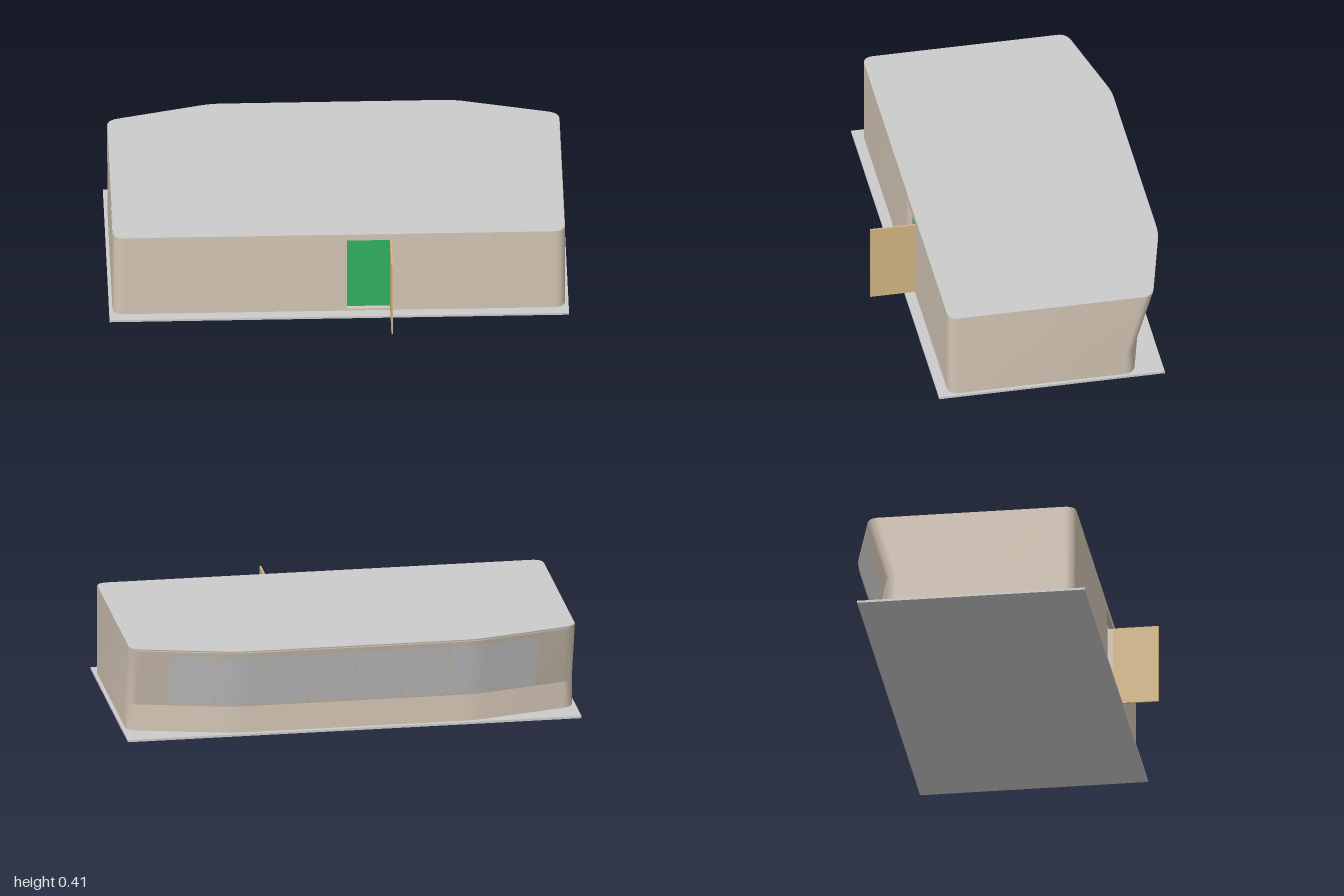
import * as THREE from 'three';
import { toCreasedNormals } from 'three/addons/utils/BufferGeometryUtils.js';

const SLOPE = 0.3, BEND_Y = 0.13, TOP = 0.41;
const DOOR = { x0: 0.035, x1: 0.225, y0: 0.02, y1: 0.38 };

const mat = (color, side = THREE.FrontSide) => new THREE.MeshStandardMaterial({ color, side });
const grey = mat(0xcccccc);
const tan = mat(0xd3c5b4, THREE.DoubleSide);
const wood = mat(0xd4b682);
const green = mat(0x2a9c55, THREE.DoubleSide);
const dark = mat(0x555555);

// Outline on the ground plane (x, z): from one door jamb around to the other
function outline() {
  const s = new THREE.Shape();
  s.moveTo(DOOR.x1, 0.41);
  s.lineTo(0.935, 0.41);
  s.quadraticCurveTo(0.985, 0.41, 0.985, 0.36);
  s.lineTo(0.985, -0.37);
  s.quadraticCurveTo(0.985, -0.411, 0.935, -0.424);
  s.lineTo(0.58, -0.5125);
  s.quadraticCurveTo(0.53, -0.525, 0.48, -0.525);
  s.lineTo(-0.48, -0.525);
  s.quadraticCurveTo(-0.53, -0.525, -0.58, -0.5125);
  s.lineTo(-0.935, -0.424);
  s.quadraticCurveTo(-0.985, -0.411, -0.985, -0.37);
  s.lineTo(-0.985, 0.36);
  s.quadraticCurveTo(-0.985, 0.41, -0.935, 0.41);
  s.lineTo(DOOR.x0, 0.41);
  return s.getPoints(10);
}

// Above the bend the whole back leans outwards
const lean = (y) => SLOPE * Math.max(0, y - BEND_Y);
const ring = (y, inset = 0) => outline().map((p) => {
  const x = Math.abs(p.x) < 0.3 ? p.x : p.x * (1 - inset);
  const z = (p.y + 0.05) * (1 - 2 * inset) - 0.05;
  return new THREE.Vector3(x, y, p.y < -0.3 ? z - lean(y) : z);
});

// Ribbon of wall through several heights
function wallGeometry(heights, inset) {
  const pos = [];
  const rings = heights.map((y) => ring(y, inset));
  for (let j = 0; j < rings.length - 1; j++) {
    for (let i = 0; i < rings[j].length - 1; i++) {
      const a = rings[j][i], b = rings[j][i + 1], c = rings[j + 1][i + 1], d = rings[j + 1][i];
      for (const v of [a, b, c, a, c, d]) pos.push(v.x, v.y, v.z);
    }
  }
  const g = new THREE.BufferGeometry();
  g.setAttribute('position', new THREE.Float32BufferAttribute(pos, 3));
  return toCreasedNormals(g, 0.27);
}

// Depth of the back wall at a given x, below the bend
function backZ(x) {
  const a = Math.abs(x);
  if (a < 0.48) return -0.525;
  if (a < 0.58) return -0.525 + 1.25 * (a - 0.48) ** 2;
  return -0.525 + 0.25 * (a - 0.53);
}

// Window pane with rounded corners, laid on the leaning back wall
function paneGeometry(cx, w, y0, y1) {
  const h = y1 - y0, r = 0.012;
  const g = new THREE.PlaneGeometry(w, h, 24, 24).rotateY(Math.PI);
  const p = g.attributes.position;
  for (let i = 0; i < p.count; i++) {
    let x = p.getX(i), y = p.getY(i);
    const over = Math.max(0, Math.abs(y) - (h / 2 - r));
    const cut = r - Math.sqrt(Math.max(0, r * r - over * over));
    x = cx + x * (1 - 2 * cut / w);
    y += (y0 + y1) / 2;
    p.setXYZ(i, x, y, backZ(x) - lean(y) - 0.003);
  }
  g.computeVertexNormals();
  return g;
}

function add(parent, name, geometry, material, x = 0, y = 0, z = 0) {
  const m = new THREE.Mesh(geometry, material);
  m.name = name;
  m.position.set(x, y, z);
  parent.add(m);
  return m;
}

// Box given by its limits
const box = (parent, name, material, x0, x1, y0, y1, z0, z1) =>
  add(parent, name, new THREE.BoxGeometry(x1 - x0, y1 - y0, z1 - z0), material,
    (x0 + x1) / 2, (y0 + y1) / 2, (z0 + z1) / 2);

function officeChair() {
  const chair = new THREE.Group();
  chair.name = 'officeChair';
  add(chair, 'chairSeat', new THREE.CylinderGeometry(0.045, 0.04, 0.015, 20), grey, 0, 0.085, 0);
  add(chair, 'chairBack', new THREE.CylinderGeometry(0.05, 0.05, 0.06, 16, 1, true, -0.8, 1.6),
    mat(0xcccccc, THREE.DoubleSide), 0, 0.125, 0);
  add(chair, 'chairPost', new THREE.CylinderGeometry(0.006, 0.006, 0.07, 10), dark, 0, 0.045, 0);
  for (let i = 0; i < 5; i++) {
    const arm = new THREE.Group();
    arm.name = 'chairFoot';
    arm.rotation.y = (i * Math.PI * 2) / 5;
    box(arm, 'footBar', dark, 0, 0.045, 0.01, 0.017, -0.004, 0.004);
    add(arm, 'caster', new THREE.SphereGeometry(0.006, 10, 8), dark, 0.043, 0.006, 0);
    chair.add(arm);
  }
  return chair;
}

export function createModel() {
  const model = new THREE.Group();
  model.name = 'controlRoomBuilding';

  // Base slab and interior floor
  box(model, 'baseSlab', grey, -1, 1, 0, 0.01, -0.545, 0.455);
  box(model, 'floor', green, -0.95, 0.95, 0.01, 0.016, -0.4, 0.39);

  // Outer walls and green inner lining
  add(model, 'outerWalls', wallGeometry([0.01, BEND_Y, TOP], 0), tan);
  add(model, 'innerWalls', wallGeometry([0.012, BEND_Y, TOP - 0.012], 0.02), green);

  // Roof panel
  const roofShape = new THREE.Shape(ring(TOP).map((v) => new THREE.Vector2(v.x * 0.998, v.z * 0.998)));
  const roof = new THREE.ExtrudeGeometry(roofShape, { depth: 0.01, bevelEnabled: false });
  add(model, 'roof', roof.rotateX(Math.PI / 2), grey, 0, TOP + 0.001, 0);

  // Doorway surround and open door
  const { x0, x1, y0, y1 } = DOOR;
  box(model, 'doorLintel', tan, x0, x1, y1, TOP, 0.39, 0.41);
  box(model, 'doorSill', tan, x0, x1, 0.01, y0, 0.39, 0.41);
  box(model, 'doorJamb', tan, x0 - 0.004, x0, 0.01, TOP - 0.005, 0.385, 0.409);
  box(model, 'doorJamb', tan, x1, x1 + 0.004, 0.01, TOP - 0.005, 0.385, 0.409);
  box(model, 'door', wood, x1 - 0.003, x1 + 0.005, y0, y1, 0.41, 0.61);

  // Row of windows along the back
  const windows = new THREE.Group();
  windows.name = 'windows';
  const pitch = 0.204;
  for (let i = 0; i < 8; i++) {
    add(windows, 'windowPane', paneGeometry((i - 3.5) * pitch, pitch - 0.008, 0.14, 0.38), grey);
  }
  model.add(windows);

  // Furniture seen through the doorway
  box(model, 'partition', grey, 0.012, 0.022, 0.016, 0.32, 0.1, 0.37);
  box(model, 'wallBoard', grey, 0.035, 0.2, 0.2, 0.36, -0.32, -0.31);
  box(model, 'deskTop', dark, -0.5, 0.5, 0.12, 0.13, -0.42, -0.3);
  box(model, 'monitor', dark, 0.1, 0.22, 0.145, 0.2, -0.35, -0.34);
  const chair = officeChair();
  chair.position.set(0.17, 0.016, -0.18);
  model.add(chair);

  return model;
}
